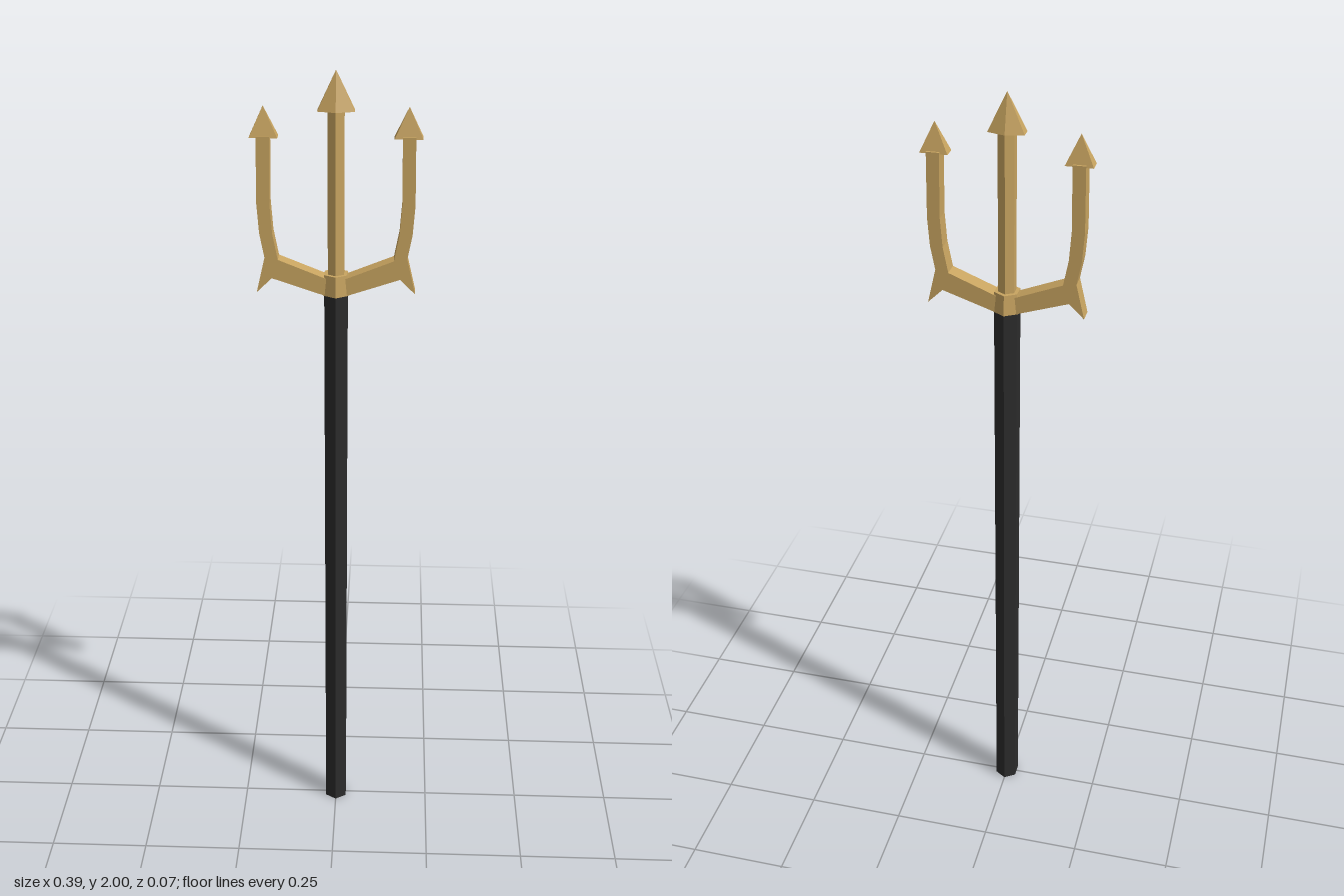
import * as THREE from 'three';

const gold = new THREE.MeshStandardMaterial({ color: 0xc8a460, flatShading: true });
const black = new THREE.MeshStandardMaterial({ color: 0x2b2b2b, flatShading: true });

// Six-sided bar standing between two heights, with ridges facing front and back
function hexBar(name, rTop, rBottom, y0, y1, material, xScale = 1) {
  const geo = new THREE.CylinderGeometry(rTop, rBottom, y1 - y0, 6);
  geo.scale(xScale, 1, 1).translate(0, (y0 + y1) / 2, 0);
  const mesh = new THREE.Mesh(geo, material);
  mesh.name = name;
  return mesh;
}

// Pyramid point over a base given as [x, z] corners, counter-clockwise seen from above
function spearPoint(name, base, x, y0, y1) {
  const pos = [];
  base.forEach(([ax, az], i) => {
    const [bx, bz] = base[(i + 1) % base.length];
    pos.push(ax, y0, az, bx, y0, bz, 0, y1, 0);
    pos.push(bx, y0, bz, ax, y0, az, 0, y0, 0);
  });
  const geo = new THREE.BufferGeometry();
  geo.setAttribute('position', new THREE.Float32BufferAttribute(pos, 3));
  geo.computeVertexNormals();
  const mesh = new THREE.Mesh(geo, gold);
  mesh.position.x = x;
  mesh.name = name;
  return mesh;
}

// Flat outline of one arm: crossbar, barb and upright prong
const armOutline = [
  [0, 1.475], [0.03, 1.482], [0.15, 1.522], [0.186, 1.487], [0.166, 1.572],
  [0.177, 1.63], [0.182, 1.7], [0.18, 1.855], [0.15, 1.855], [0.152, 1.7],
  [0.147, 1.63], [0.135, 1.567], [0.03, 1.525], [0, 1.515],
];

function arm(name, side) {
  const shape = new THREE.Shape(armOutline.map(([x, y]) => new THREE.Vector2(side * x, y)));
  const geo = new THREE.ExtrudeGeometry(shape, { depth: 0.04, bevelEnabled: false });
  geo.translate(0, 0, -0.02);
  const mesh = new THREE.Mesh(geo, gold);
  mesh.name = name;
  return mesh;
}

export function createModel() {
  const group = new THREE.Group();
  group.name = 'trident';

  // Shaft and collar
  group.add(hexBar('shaft', 0.035, 0.035, 0, 1.482, black, 0.9));
  group.add(hexBar('collar', 0.033, 0.036, 1.48, 1.53, gold, 0.95));

  // Centre prong with its larger point
  group.add(hexBar('centreProng', 0.023, 0.023, 1.52, 1.915, gold, 0.95));
  const centreBase = [[0.042, 0.013], [0.042, -0.013], [0, -0.025], [-0.042, -0.013], [-0.042, 0.013], [0, 0.025]];
  group.add(spearPoint('centrePoint', centreBase, 0, 1.91, 2));

  // Side arms with smaller points
  const sideBase = [[0.0325, 0.016], [0.0325, -0.016], [-0.0325, -0.016], [-0.0325, 0.016]];
  for (const [label, side] of [['left', 1], ['right', -1]]) {
    group.add(arm(label + 'Arm', side));
    group.add(spearPoint(label + 'Point', sideBase, side * 0.164, 1.85, 1.92));
  }
  return group;
}
